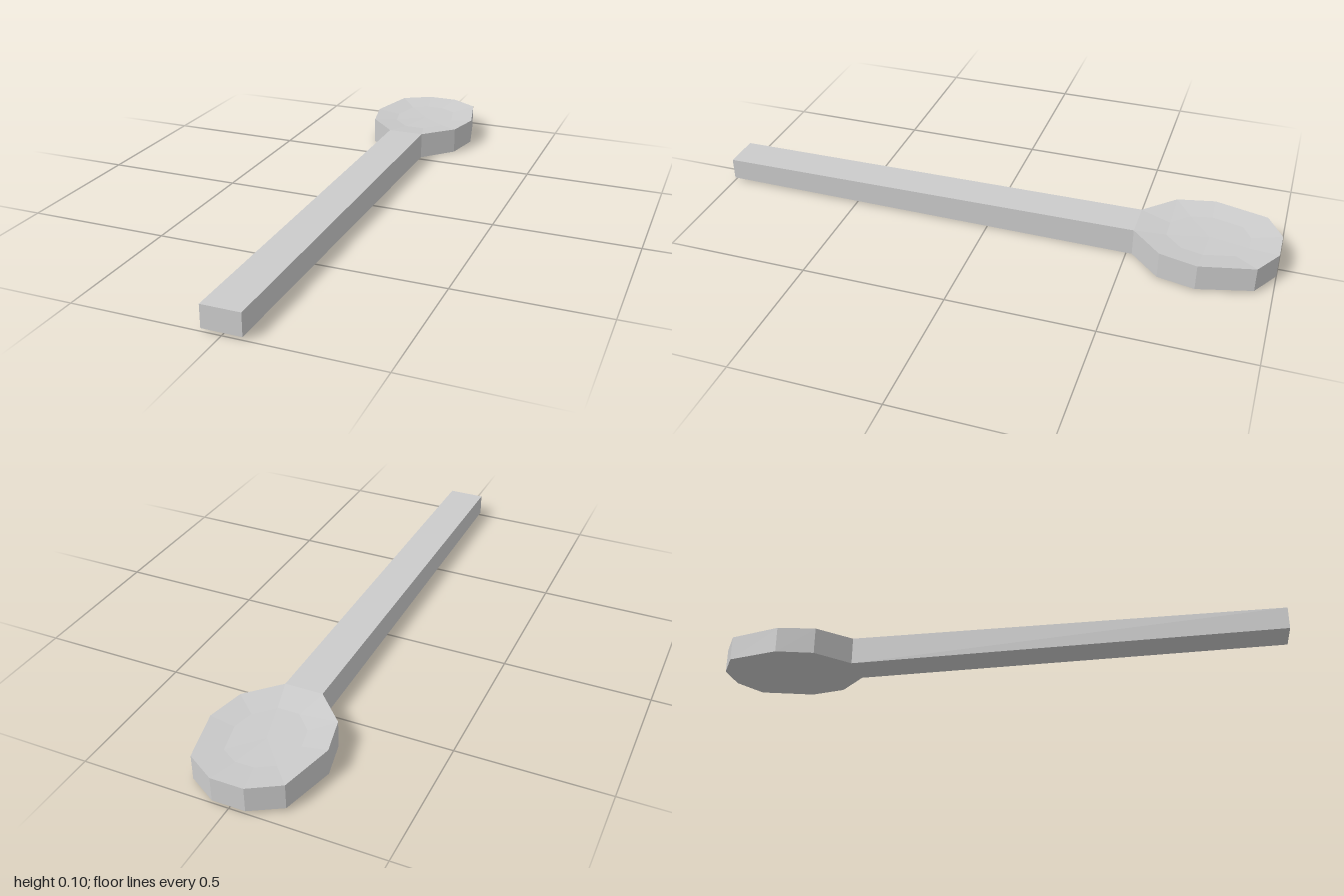
import * as THREE from 'three';

const material = new THREE.MeshStandardMaterial({ color: 0xcccccc, flatShading: true });

const NECK_Z = -0.52, NECK_X = 0.066;

// Gentle slopes of the upper and lower faces along the spoon
const lerp = THREE.MathUtils.lerp;
const handleT = (z) => (1 - z) / (1 - NECK_Z);
const bowlT = (z) => (NECK_Z - z) / (1 + NECK_Z);
const rimTop = (z) => lerp(0.097, 0.095, bowlT(z));
const bowlBottom = (z) => lerp(0, 0.01, bowlT(z));

// Long bar, thickening slightly towards the bowl
function createHandle() {
  const geometry = new THREE.BoxGeometry(NECK_X * 2, 1, 1 - NECK_Z);
  geometry.translate(0, 0, (1 + NECK_Z) / 2);
  const p = geometry.attributes.position;
  for (let i = 0; i < p.count; i++) {
    const t = handleT(p.getZ(i));
    p.setY(i, p.getY(i) > 0 ? lerp(0.087, 0.097, t) : lerp(0.01, 0, t));
  }
  // Leave out the end that joins the bowl
  geometry.setIndex(Array.from(geometry.index.array).slice(0, 30));
  geometry.clearGroups();
  const flat = geometry.toNonIndexed();
  flat.computeVertexNormals();
  const mesh = new THREE.Mesh(flat, material);
  mesh.name = 'handle';
  return mesh;
}

// Faceted bowl: underside, wall, and shallow dish built from rings
function createBowl() {
  const half = [[NECK_X, NECK_Z], [0.17, -0.625], [0.2, -0.755], [0.155, -0.94], [0.055, -1]];
  const outline = [...half, ...half.slice().reverse().map(([x, z]) => [-x, z])];
  const n = outline.length, centreZ = -0.765;
  const ring = (scale, height) => outline.map(([x, z]) => {
    const sz = centreZ + (z - centreZ) * scale;
    return [x * scale, height(sz), sz];
  });
  const bottom = ring(1, bowlBottom);
  const rim = ring(1, rimTop);
  const dish = ring(0.57, () => 0.084);
  const bottomCentre = [0, bowlBottom(centreZ), centreZ];
  const dishCentre = [0, 0.081, centreZ];

  const positions = [];
  const tri = (a, b, c) => positions.push(...a, ...b, ...c);
  const quad = (a, b, c, d) => { tri(a, b, c); tri(a, c, d); };
  for (let i = 0; i < n; i++) {
    const j = (i + 1) % n;
    tri(bottomCentre, bottom[j], bottom[i]);
    if (j !== 0) quad(bottom[i], bottom[j], rim[j], rim[i]); // open at the neck
    quad(rim[i], rim[j], dish[j], dish[i]);
    tri(dish[i], dish[j], dishCentre);
  }
  const geometry = new THREE.BufferGeometry();
  geometry.setAttribute('position', new THREE.Float32BufferAttribute(positions, 3));
  geometry.computeVertexNormals();
  const mesh = new THREE.Mesh(geometry, material);
  mesh.name = 'bowl';
  return mesh;
}

export function createModel() {
  const group = new THREE.Group();
  group.name = 'spoon';
  group.add(createHandle(), createBowl());
  return group;
}
